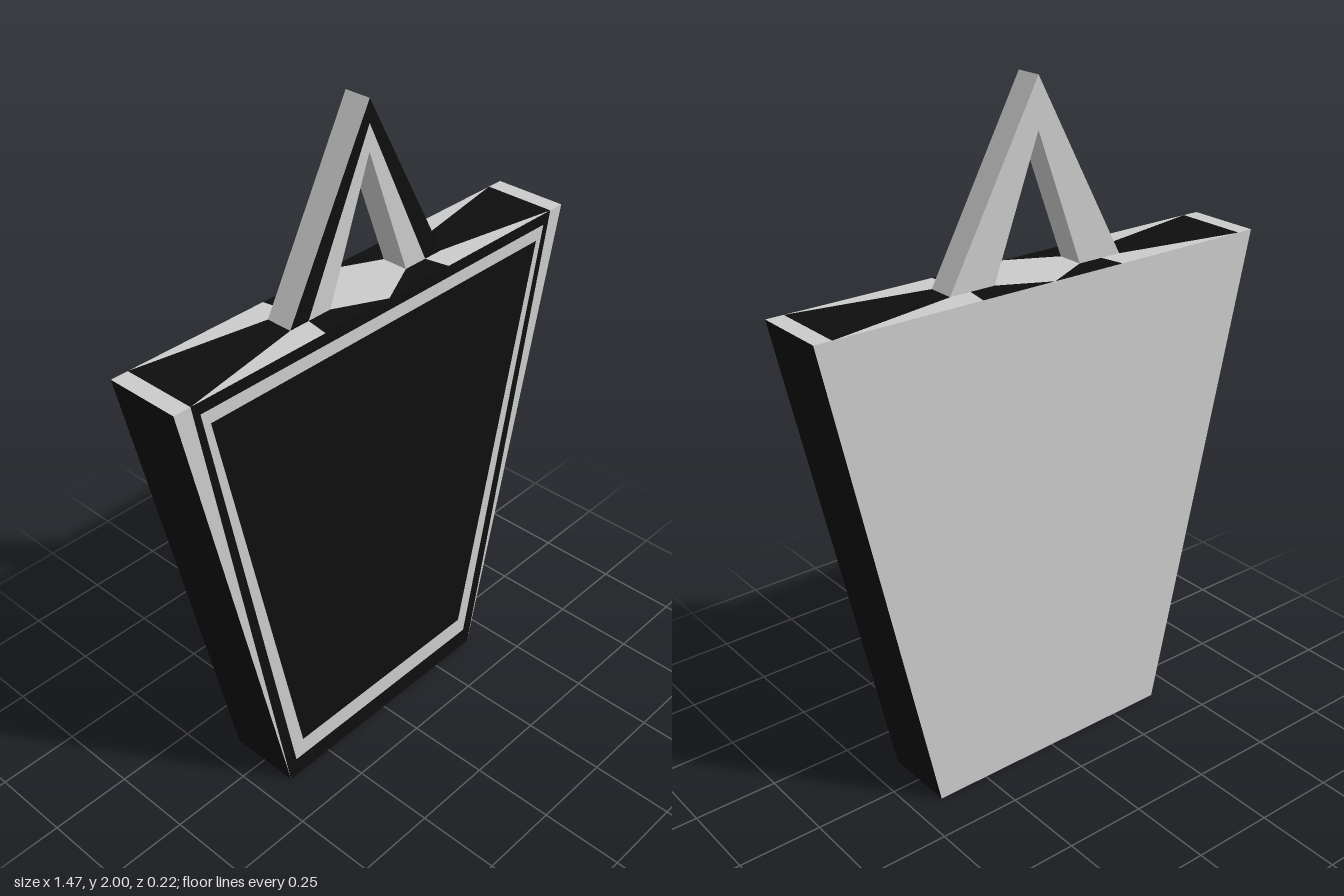
import * as THREE from 'three';

const grey = new THREE.MeshStandardMaterial({ color: 0xcccccc });
const black = new THREE.MeshStandardMaterial({ color: 0x0e0e0e });

const H = 1.475, D = 0.112;          // body height and half depth
const BOTTOM = 0.41, TOP = 0.735;    // body half widths
const HD = 0.04;                     // handle half depth

const vecs = (pts) => pts.map(([x, y]) => new THREE.Vector2(x, y));
const flip = (pts) => pts.map(([x, y]) => [-x, y]);
// symmetric trapezoid: half widths and heights of the lower and upper edge
const trapezoid = (w0, y0, w1, y1) => [[-w0, y0], [w0, y0], [w1, y1], [-w1, y1]];

export function createModel() {
  const model = new THREE.Group();
  const body = new THREE.Group();
  body.name = 'body';
  const handle = new THREE.Group();
  handle.name = 'handle';
  model.add(body, handle);

  const add = (parent, name, geometry, material) => {
    const mesh = new THREE.Mesh(geometry, material);
    mesh.name = name;
    parent.add(mesh);
    return mesh;
  };
  // flat polygon facing +z, with an optional hole
  const panel = (parent, name, pts, material, z, hole) => {
    const shape = new THREE.Shape(vecs(pts));
    if (hole) shape.holes.push(new THREE.Path(vecs(hole)));
    return add(parent, name, new THREE.ShapeGeometry(shape).translate(0, 0, z), material);
  };
  // wall running along a-b through the depth, facing right of the travel direction
  const wall = (parent, name, a, b, d, material) => {
    const g = new THREE.BufferGeometry();
    g.setAttribute('position', new THREE.Float32BufferAttribute(
      [...a, d, ...a, -d, ...b, -d, ...b, d], 3));
    g.setIndex([0, 1, 2, 0, 2, 3]);
    g.computeVertexNormals();
    return add(parent, name, g, material);
  };

  // body shell
  wall(body, 'bottom', [-BOTTOM, 0], [BOTTOM, 0], D, grey);
  wall(body, 'leftSide', [BOTTOM, 0], [TOP, H], D, black);
  wall(body, 'rightSide', [-TOP, H], [-BOTTOM, 0], D, black);
  panel(body, 'back', trapezoid(BOTTOM, 0, TOP, H), grey, D).rotation.y = Math.PI;

  // front face: black border, grey frame, black centre, grey outer slivers
  const frameOuter = trapezoid(0.385, 0.065, 0.655, 1.44);
  const frameInner = trapezoid(0.355, 0.128, 0.625, 1.4);
  panel(body, 'frontBorder', trapezoid(BOTTOM, 0, 0.683, H), black, D, frameOuter);
  panel(body, 'frontFrame', frameOuter, grey, D, frameInner);
  panel(body, 'frontCentre', frameInner, black, D);
  const sliver = [[BOTTOM, 0], [TOP, H], [0.683, H]];
  panel(body, 'frontEdgeLeft', sliver, grey, D);
  panel(body, 'frontEdgeRight', flip(sliver), grey, D);

  // top face: mirrored patches, drawn flat and then laid down
  const top = new THREE.Group();
  top.name = 'top';
  top.rotation.x = -Math.PI / 2;
  top.position.y = H;
  body.add(top);
  const foot = 0.288, footIn = 0.145;
  panel(top, 'topCentre', [[0, -D], [footIn, -HD], [footIn, HD], [0, D], [-footIn, HD], [-footIn, -HD]], grey, 0);
  for (const side of [1, -1]) {
    const patch = (name, pts, material) => panel(top, name, pts.map(([x, y]) => [side * x, y]), material, 0);
    patch('topEnd', [[0.683, -D], [TOP, -D], [TOP, D], [0.683, D]], grey);
    patch('topWedge', [[foot, -HD], [0.683, -D], [0.683, D], [foot, HD]], black);
    patch('topUnderFoot', [[footIn, -HD], [foot, -HD], [foot, HD], [footIn, HD]], grey);
    for (const s of [1, -1]) {
      patch('topGreyPatch', [[0.223, s * HD], [foot, s * HD], [0.683, s * D], [0.236, s * D]], grey);
      patch('topBlackPatch', [[0, s * D], [footIn, s * HD], [0.223, s * HD], [0.236, s * D]], black);
    }
  }

  // handle: triangular arch with a black outer and a grey inner stripe in front
  const outer = [[foot, H], [0, 2], [-foot, H]];
  const middle = [[0.223, H], [0, 1.936], [-0.223, H]];
  const inner = [[footIn, H], [0, 1.86], [-footIn, H]];
  const band = (a, b) => [...a, ...[...b].reverse()];
  panel(handle, 'handleOuterStripe', band(outer, middle), black, HD);
  panel(handle, 'handleInnerStripe', band(middle, inner), grey, HD);
  panel(handle, 'handleBack', band(outer, inner), grey, HD).rotation.y = Math.PI;
  for (let i = 0; i < 2; i++) {
    wall(handle, 'handleOuterWall', outer[i], outer[i + 1], HD, grey);
    wall(handle, 'handleInnerWall', inner[i + 1], inner[i], HD, grey);
  }
  return model;
}
